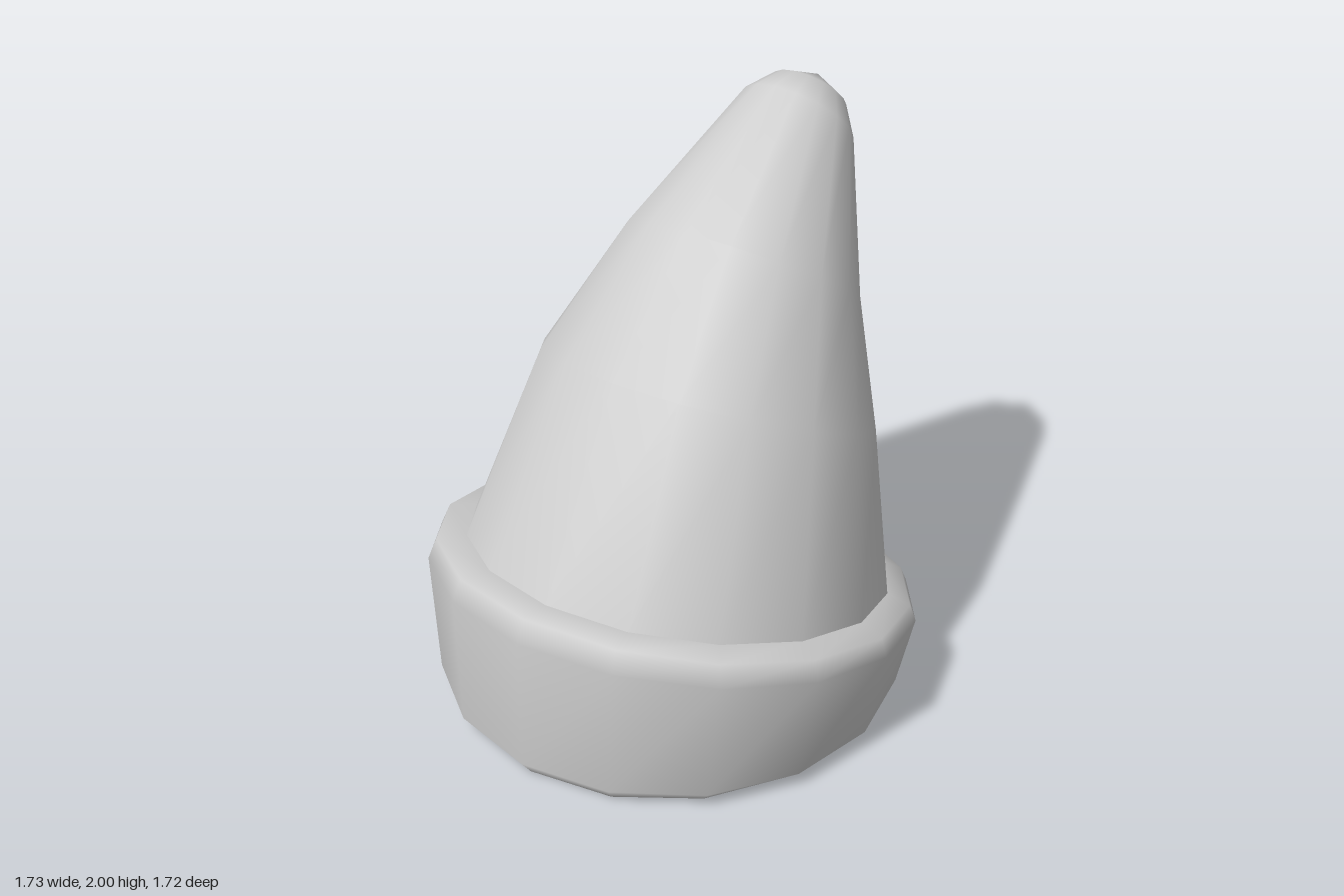
import * as THREE from 'three';
import { mergeVertices } from 'three/addons/utils/BufferGeometryUtils.js';

const SIDES = 16;

// Skin over tilted elliptical rings, each [halfWidth, frontZ, frontY, backZ, backY]
function loft(rings) {
  const pos = [], index = [];
  for (const [rx, fz, fy, bz, by] of rings) {
    for (let i = 0; i < SIDES; i++) {
      const a = (i / SIDES) * Math.PI * 2;
      const t = (1 + Math.cos(a)) / 2; // 1 at the front, 0 at the back
      pos.push(rx * Math.sin(a), by + (fy - by) * t, bz + (fz - bz) * t);
    }
  }
  for (let j = 0; j < rings.length - 1; j++) {
    for (let i = 0; i < SIDES; i++) {
      const k = (i + 1) % SIDES;
      const a = j * SIDES + i, b = j * SIDES + k;
      index.push(a, b, b + SIDES, a, b + SIDES, a + SIDES);
    }
  }
  let geo = new THREE.BufferGeometry();
  geo.setAttribute('position', new THREE.Float32BufferAttribute(pos, 3));
  geo.setIndex(index);
  geo = mergeVertices(geo); // welds the tip into one point
  geo.computeVertexNormals();
  return geo;
}

// Shrinks a ring about its own centre
function inset([rx, fz, fy, bz, by], s) {
  const cz = (fz + bz) / 2, cy = (fy + by) / 2;
  return [rx * s, cz + (fz - cz) * s, cy + (fy - cy) * s, cz + (bz - cz) * s, cy + (by - cy) * s];
}

export function createModel() {
  const grey = new THREE.MeshStandardMaterial({ color: 0xcccccc });
  grey.name = 'lightGrey';

  const group = new THREE.Group();
  const add = (name, rings) => {
    const mesh = new THREE.Mesh(loft(rings), grey);
    mesh.name = name;
    group.add(mesh);
  };

  // Cone bending backwards, ending in a rounded tip
  const cone = [
    [0.75, 0.71, 0.605, -0.71, 0.285],
    [0.6, 0.35, 1.25, -0.69, 0.8],
    [0.425, -0.04, 1.63, -0.7, 1.21],
    [0.205, -0.54, 1.98, -0.84, 1.69],
    [0.135, -0.66, 2.0, -0.86, 1.81],
    [0, -0.81, 1.95, -0.81, 1.95],
  ];
  add('cone', cone);

  // Thick folded brim, higher at the front
  const opening = [0.69, 0.73, 0.005, -0.68, 0.005];
  add('brim', [
    [0.76, 0.82, 0, -0.75, 0],
    [0.815, 0.863, 0.06, -0.765, 0.04],
    [0.865, 0.855, 0.54, -0.8, 0.2],
    [0.84, 0.82, 0.615, -0.78, 0.247],
    cone[0],
  ]);
  add('brimUnderside', [opening, [0.76, 0.82, 0, -0.75, 0]]);

  // Hollow inside, facing inwards
  const lining = [opening, ...cone.slice(0, 4).map((r) => inset(r, 0.92)), [0, -0.74, 1.9, -0.74, 1.9]];
  add('lining', lining.reverse());

  return group;
}
